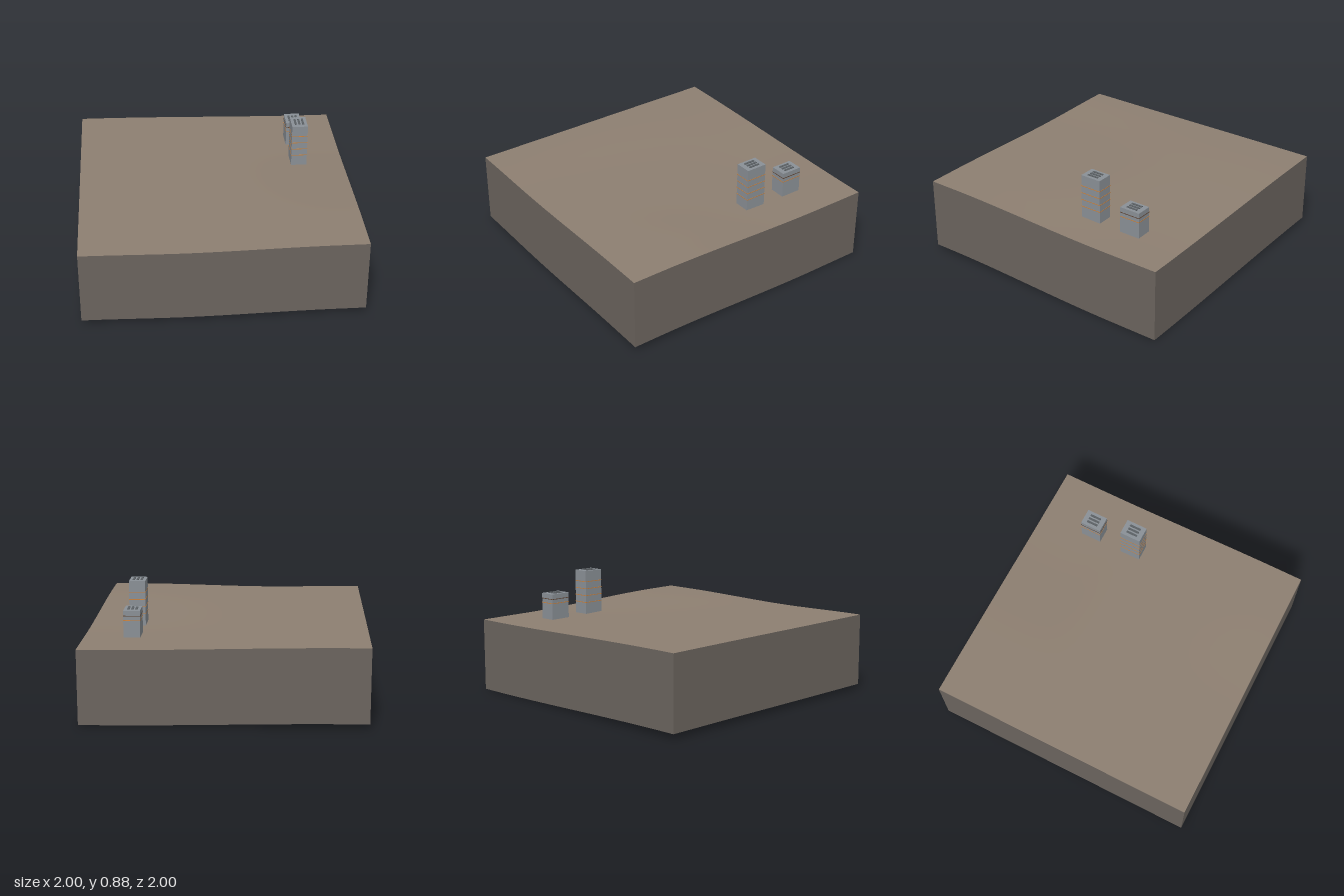
import * as THREE from 'three';

const DEPTH = 0.535;
const ground = new THREE.MeshStandardMaterial({ color: 0x8d7f71, side: THREE.DoubleSide });
ground.name = 'earth';
const cliff = new THREE.MeshStandardMaterial({ color: 0x6b645e, side: THREE.DoubleSide });
cliff.name = 'rock';
const concrete = new THREE.MeshStandardMaterial({ color: 0x8a9096 });
concrete.name = 'concrete';
const dark = new THREE.MeshStandardMaterial({ color: 0x5b6064 });
dark.name = 'dark metal';
const orange = new THREE.MeshStandardMaterial({ color: 0xc8803c });
orange.name = 'orange trim';
const brown = new THREE.MeshStandardMaterial({ color: 0x5e4433 });
brown.name = 'dark trim';

// Gently rolling terrain height
const ease = (t) => THREE.MathUtils.smoothstep(t, 0, 1);
function height(x, z) {
  const front = x < -0.25
    ? 0.558 + 0.011 * ease((-0.25 - x) / 0.75)
    : 0.558 + 0.015 * ease((x + 0.25) / 1.0);
  const back = 0.572 - 0.037 * ease((x + 1) / 2);
  return THREE.MathUtils.lerp(back, front, ease((z + 0.6) / 1.4));
}

function addMesh(parent, name, geometry, material, x = 0, y = 0, z = 0) {
  const mesh = new THREE.Mesh(geometry, material);
  mesh.name = name;
  mesh.position.set(x, y, z);
  parent.add(mesh);
  return mesh;
}

// Top skin, lifted to the terrain height
function terrainTop() {
  const geo = new THREE.PlaneGeometry(2, 2, 20, 20).rotateX(-Math.PI / 2);
  const p = geo.attributes.position;
  for (let i = 0; i < p.count; i++) p.setY(i, height(p.getX(i), p.getZ(i)));
  geo.computeVertexNormals();
  return geo;
}

// Side skirt of constant depth whose upper and lower edges follow the terrain
function skirt(angle) {
  const geo = new THREE.PlaneGeometry(2, 1, 20, 1).translate(0, 0, 1).rotateY(angle);
  const p = geo.attributes.position;
  for (let i = 0; i < p.count; i++) {
    const top = height(p.getX(i), p.getZ(i));
    p.setY(i, p.getY(i) > 0 ? top : top - DEPTH);
  }
  return geo;
}

// Tower block with trim bands and three roof vents
function tower(name, z, top, bands) {
  const g = new THREE.Group();
  g.name = name;
  const x = 0.66, w = 0.118, d = 0.158, base = 0.535;
  addMesh(g, 'towerBody', new THREE.BoxGeometry(w, top - base, d), concrete, x, (top + base) / 2, z);
  for (const [y, mat] of bands) {
    addMesh(g, 'trimBand', new THREE.BoxGeometry(w + 0.003, 0.005, d + 0.003), mat, x, y, z);
  }
  for (const dx of [-0.028, 0, 0.028]) {
    addMesh(g, 'roofVent', new THREE.BoxGeometry(0.015, 0.006, 0.085), dark, x + dx, top + 0.002, z);
  }
  return g;
}

export function createModel() {
  const model = new THREE.Group();
  model.name = 'terrainWithTowers';
  addMesh(model, 'terrainTop', terrainTop(), ground);
  ['frontSkirt', 'leftSkirt', 'backSkirt', 'rightSkirt'].forEach((name, i) =>
    addMesh(model, name, skirt(i * Math.PI / 2), cliff));
  model.add(tower('tallTower', -0.25, 0.872,
    [0.63, 0.683, 0.736, 0.79].map((y) => [y, orange])));
  model.add(tower('shortTower', -0.583, 0.73, [[0.66, orange], [0.692, brown]]));
  return model;
}
